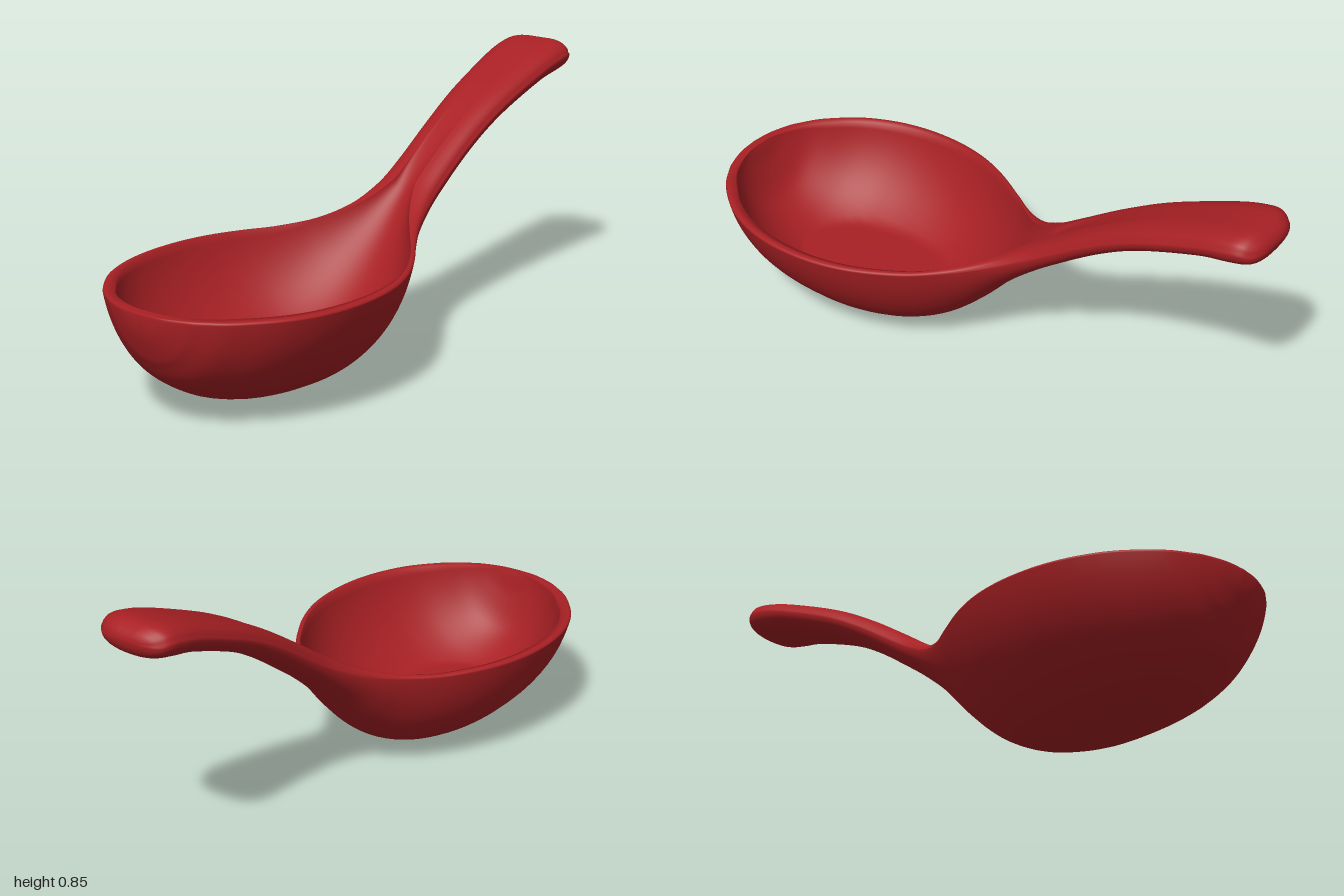
import * as THREE from 'three';

// Stations along the spoon: x, underside y, rim y, half width, hollow y
const bowlStations = [
  [-1, 0.35, 0.366, 0, 0.366], [-0.992, 0.3, 0.368, 0.075, 0.368], [-0.97, 0.238, 0.369, 0.143, 0.369],
  [-0.95, 0.2, 0.369, 0.181, 0.28], [-0.9, 0.135, 0.369, 0.251, 0.175], [-0.8, 0.07, 0.369, 0.334, 0.1],
  [-0.7, 0.034, 0.368, 0.383, 0.06], [-0.6, 0.014, 0.368, 0.408, 0.042], [-0.5, 0.004, 0.368, 0.415, 0.034],
  [-0.4, 0, 0.368, 0.407, 0.034], [-0.3, 0.01, 0.368, 0.382, 0.045], [-0.2, 0.036, 0.368, 0.338, 0.075],
  [-0.1, 0.09, 0.37, 0.277, 0.135],
];
const handleStations = [
  [0, 0.18, 0.388, 0.207, 0.225], [0.1, 0.288, 0.43, 0.148, 0.34], [0.2, 0.375, 0.492, 0.115, 0.455],
  [0.3, 0.45, 0.56, 0.105, 0.55], [0.45, 0.553, 0.657, 0.106, 0.655], [0.6, 0.635, 0.737, 0.115, 0.737],
  [0.8, 0.71, 0.817, 0.128, 0.817], [0.9, 0.732, 0.845, 0.133, 0.845], [0.95, 0.743, 0.849, 0.126, 0.849],
  [0.98, 0.758, 0.836, 0.102, 0.836], [0.995, 0.779, 0.82, 0.068, 0.82], [1, 0.798, 0.806, 0.03, 0.806],
];
const stations = [...bowlStations, ...handleStations];
const SUB = 7;
const FLOOR = 0.082;
const { smoothstep, lerp } = THREE.MathUtils;

// Smooth interpolation of every station value
function sample(i, u) {
  const at = (k) => stations[Math.min(Math.max(k, 0), stations.length - 1)];
  const [p, a, b, n] = [at(i - 1), at(i), at(i + 1), at(i + 2)];
  return a.map((v, k) => {
    const m0 = (b[k] - p[k]) / 2, m1 = (n[k] - v) / 2;
    const u2 = u * u, u3 = u2 * u;
    return v * (2 * u3 - 3 * u2 + 1) + m0 * (u3 - 2 * u2 + u) + b[k] * (3 * u2 - 2 * u3) + m1 * (u3 - u2);
  });
}

// Arc from the centre (0, low) out to (width, high), sweeping up to the given angle
function arc(width, low, high, sweep, power) {
  const end = Math.cos(sweep);
  return Array.from({ length: 21 }, (_, k) => {
    const a = (k / 20) * sweep;
    const drop = Math.max(0, (Math.cos(a) - end) / (1 - end)) ** power;
    return [width * (Math.sin(a) / Math.sin(sweep)) ** power, high - (high - low) * drop];
  });
}

// Half cross-section as [z, y] from the underside centre, over the rim, to the hollow centre
function halfSection([x, b, t, w, hollow]) {
  const h = smoothstep(x, -0.1, 0.3);
  const c = Math.min(hollow, t);
  const s = t - Math.min(lerp(0.01, 0.042, h), (t - b) * 0.45);
  const round = Math.min(lerp(0.014, 0.08, h), w * lerp(0.5, 0.65, h));
  const inset = Math.sqrt(Math.max(0, x + 0.97) / Math.max(x + 1, 1e-4));
  const bowlInner = w * inset - 0.015 * smoothstep(x, -0.97, -0.85);
  const inner = Math.max(0, Math.min(w - round, lerp(bowlInner, w - round, h)));
  const ledge = Math.min(0.004 * h, w * 0.1);
  // outer shell
  const pts = arc(w, b, s, lerp(1.28, Math.PI / 2, h), lerp(1, 0.88, h));
  // rounded rim, set in slightly along the handle to leave a seam
  for (let k = 0; k <= 6; k++) {
    const a = (k / 6) * Math.PI / 2;
    pts.push([w - ledge - (round - ledge) * (1 - Math.cos(a)), s + 0.002 + (t - s - 0.002) * Math.sin(a)]);
  }
  // hollow with a level floor
  const inside = arc(inner, c, t, lerp(1.35, 1.5, h), 1).reverse();
  return [...pts, ...inside.map(([z, y]) => [z, Math.max(y, FLOOR)])];
}

// Skin the mirrored cross-sections into one closed surface
function spoonGeometry() {
  const pos = [], index = [];
  let rings = 0, size = 0;
  const addRing = (st) => {
    const half = halfSection(st);
    const mirrored = half.slice(1, -1).reverse().map(([z, y]) => [-z, y]);
    const loop = [...half, ...mirrored];
    size = loop.length;
    loop.forEach(([z, y]) => pos.push(st[0], y, z));
    rings++;
  };
  for (let i = 0; i < stations.length - 1; i++) {
    for (let j = 0; j < SUB; j++) addRing(sample(i, j / SUB));
  }
  addRing(stations[stations.length - 1]);
  for (let i = 0; i < rings - 1; i++) {
    for (let k = 0; k < size; k++) {
      const k2 = (k + 1) % size;
      const a = i * size + k, b = a + size, d = i * size + k2, e = d + size;
      index.push(a, b, d, b, e, d);
    }
  }
  // cap at the handle end
  const last = (rings - 1) * size, centre = pos.length / 3;
  pos.push(1, 0.802, 0);
  for (let k = 0; k < size; k++) index.push(last + k, centre, last + (k + 1) % size);
  const geo = new THREE.BufferGeometry();
  geo.setAttribute('position', new THREE.Float32BufferAttribute(pos, 3));
  geo.setIndex(index);
  geo.computeVertexNormals();
  return geo;
}

export function createModel() {
  const group = new THREE.Group();
  group.name = 'soupSpoon';
  const red = new THREE.MeshStandardMaterial({ color: 0xa82024 });
  red.name = 'lacquer red';
  const spoon = new THREE.Mesh(spoonGeometry(), red);
  spoon.name = 'bowlAndHandle';
  group.add(spoon);
  return group;
}
